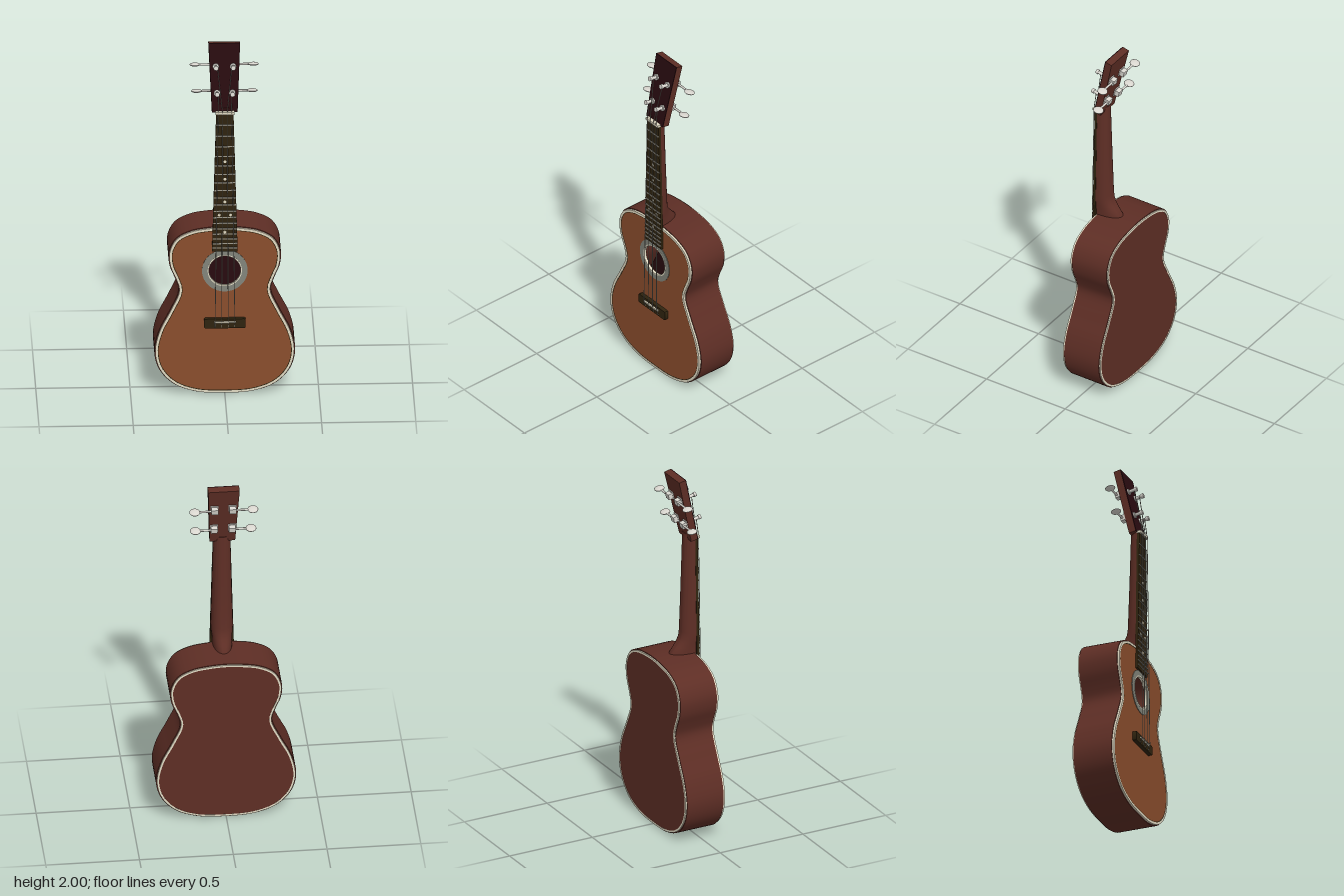
import * as THREE from 'three';
import { toCreasedNormals } from 'three/addons/utils/BufferGeometryUtils.js';

const mat = (name, color) => {
  const m = new THREE.MeshStandardMaterial({ color });
  m.name = name;
  return m;
};

export function createModel() {
  const mahogany = mat('mahogany', 0x5e2e25);
  const topWood = mat('top wood', 0x8b4e2d);
  const cream = mat('cream binding', 0xe2dbc4);
  const ebony = mat('dark fretboard wood', 0x30240f);
  const veneer = mat('dark veneer', 0x280b0f);
  const metal = mat('nickel', 0xd9d6cf);
  const grey = mat('rosette grey', 0x82857b);
  const fretMetal = mat('fret metal', 0xa09c90);

  const model = new THREE.Group();
  model.name = 'ukulele';
  const add = (name, geo, material, parent = model) => {
    const mesh = new THREE.Mesh(geo, material);
    mesh.name = name;
    parent.add(mesh);
    return mesh;
  };
  const box = (name, w, h, d, x, y, z, material, parent) => {
    const m = add(name, new THREE.BoxGeometry(w, h, d), material, parent);
    m.position.set(x, y, z);
    return m;
  };
  // Cylinder between two points
  const rod = (name, a, b, r, material, parent, sides = 8) => {
    const d = b.clone().sub(a);
    const m = add(name, new THREE.CylinderGeometry(r, r, d.length(), sides), material, parent);
    m.position.copy(a).addScaledVector(d, 0.5);
    m.quaternion.setFromUnitVectors(new THREE.Vector3(0, 1, 0), d.normalize());
    return m;
  };
  const V = (x, y, z) => new THREE.Vector3(x, y, z);

  // Flat shape extruded from z0 to z1, with soft sides
  const slab = (name, shape, z0, z1, material, parent) => {
    const g = new THREE.ExtrudeGeometry(shape, { depth: z1 - z0, bevelEnabled: false, curveSegments: 40 });
    g.translate(0, 0, z0);
    return add(name, toCreasedNormals(g, 0.6), material, parent);
  };

  // Body outline, with inset copies for the binding and plates
  const half = [[0, 0], [0.15, 0.01], [0.27, 0.056], [0.347, 0.14], [0.374, 0.245], [0.35, 0.365], [0.292, 0.485],
    [0.245, 0.6], [0.264, 0.67], [0.292, 0.74], [0.297, 0.825], [0.258, 0.902], [0.18, 0.945], [0.09, 0.962], [0, 0.968]];
  const loop = [...half, ...half.slice(1, -1).reverse().map(([x, y]) => [-x, y])];
  const curve = new THREE.CatmullRomCurve3(loop.map(([x, y]) => V(x, y, 0)), true, 'centripetal');
  const N = 120;
  const outline = (inset) => Array.from({ length: N }, (_, i) => {
    const p = curve.getPointAt(i / N), t = curve.getTangentAt(i / N);
    return new THREE.Vector2(p.x - t.y * inset, p.y + t.x * inset);
  });
  const ring = (a, b) => {
    const s = new THREE.Shape(outline(a));
    s.holes.push(new THREE.Path(outline(b)));
    return s;
  };
  const circleRing = (y, outer, inner) => {
    const s = new THREE.Shape().absarc(0, y, outer, 0, Math.PI * 2);
    s.holes.push(new THREE.Path().absarc(0, y, inner, 0, Math.PI * 2, true));
    return s;
  };

  const HOLE_Y = 0.715;
  slab('bodySides', ring(0, 0.03), -0.13, 0.09, mahogany);
  slab('frontBinding', ring(0.005, 0.018), 0.088, 0.101, cream);
  slab('frontPurfling', ring(0.018, 0.022), 0.088, 0.1, ebony);
  const topShape = new THREE.Shape(outline(0.022));
  topShape.holes.push(new THREE.Path().absarc(0, HOLE_Y, 0.086, 0, Math.PI * 2, true));
  slab('soundboard', topShape, 0.088, 0.1, topWood);
  slab('backBinding', ring(0.005, 0.016), -0.137, -0.128, cream);
  slab('back', new THREE.Shape(outline(0.016)), -0.136, -0.124, mahogany);
  slab('innerBack', new THREE.Shape(outline(0.031)), -0.124, -0.122, veneer);

  // Sound hole decoration
  slab('rosette', circleRing(HOLE_Y, 0.121, 0.091), 0.1, 0.103, grey);
  slab('soundHoleRim', circleRing(HOLE_Y, 0.091, 0.084), 0.09, 0.1035, cream);

  // Bridge and saddle
  const bridge = new THREE.Shape();
  bridge.moveTo(-0.1, 0.388).lineTo(0.1, 0.388).quadraticCurveTo(0.11, 0.388, 0.11, 0.398).lineTo(0.11, 0.432)
    .quadraticCurveTo(0.11, 0.442, 0.1, 0.442).lineTo(-0.1, 0.442).quadraticCurveTo(-0.11, 0.442, -0.11, 0.432)
    .lineTo(-0.11, 0.398).quadraticCurveTo(-0.11, 0.388, -0.1, 0.388);
  slab('bridge', bridge, 0.1, 0.122, ebony);
  box('saddle', 0.115, 0.008, 0.02, 0, 0.425, 0.121, cream);

  // Tapered fretboard, frets at equal-tempered spacing, dots
  const NUT_Y = 1.632, SCALE = 1.207;
  const halfWidth = (y) => 0.046 + (1.632 - y) * 0.0275;
  const board = new THREE.Shape([[-1, 0.83], [1, 0.83], [1, 1.63], [-1, 1.63]]
    .map(([s, y]) => new THREE.Vector2(s * halfWidth(y), y)));
  slab('fretboard', board, 0.098, 0.113, ebony);
  const fretY = (n) => NUT_Y - SCALE * (1 - 2 ** (-n / 12));
  for (let n = 1; n <= 18; n++) box('fret', 2 * halfWidth(fretY(n)), 0.006, 0.004, 0, fretY(n), 0.1145, fretMetal);
  for (const [n, xs] of [[5, [0]], [7, [0]], [10, [0]], [12, [-0.03, 0.03]], [15, [0]]]) {
    for (const x of xs) {
      const y = (fretY(n) + fretY(n - 1)) / 2 - 0.004;
      rod('fretDot', V(x, y, 0.112), V(x, y, 0.1145), 0.008, cream, model, 16);
    }
  }
  box('nut', 0.1, 0.014, 0.024, 0, NUT_Y + 0.003, 0.111, cream);

  // Neck and heel: half-round sections [y, half width, back z]
  const rows = [[0.95, 0.052, -0.036], [0.972, 0.052, -0.032], [1.0, 0.053, -0.008], [1.025, 0.055, 0.012],
    [1.05, 0.058, 0.026], [1.085, 0.059, 0.032], [1.35, 0.052, 0.041], [1.62, 0.046, 0.049], [1.655, 0.045, 0.05], [1.656, 0, 0.1]];
  const M = 20, pos = [], idx = [];
  rows.forEach(([y, w, back], i) => {
    for (let j = 0; j <= M; j++) {
      const a = (j / M) * Math.PI;
      pos.push(w * Math.cos(a), y, 0.1 - (0.1 - back) * Math.sin(a) ** 0.85);
      if (i && j) {
        const d = i * (M + 1) + j, c = d - 1, b = d - M - 1, e = b - 1;
        idx.push(e, b, d, e, d, c);
      }
    }
  });
  const neck = new THREE.BufferGeometry();
  neck.setAttribute('position', new THREE.Float32BufferAttribute(pos, 3));
  neck.setIndex(idx);
  add('neck', toCreasedNormals(neck, 0.8), mahogany);

  // Headstock, tilted backwards
  const head = new THREE.Group();
  head.name = 'headstock';
  head.position.set(0, 1.635, 0.103);
  head.rotation.x = -0.22;
  model.add(head);
  const headShape = new THREE.Shape([[-0.068, 0], [0.068, 0], [0.084, 0.374], [-0.084, 0.374]]
    .map(([x, y]) => new THREE.Vector2(x, y)));
  slab('headstockCore', headShape, -0.042, -0.005, mahogany, head);
  slab('headstockVeneer', headShape, -0.005, 0, veneer, head);

  // Tuners: post, collar, gear box, shaft and button
  const posts = [];
  for (const [y, px, bx] of [[0.105, 0.041, 0.148], [0.248, 0.046, 0.155]]) {
    for (const s of [-1, 1]) {
      const t = new THREE.Group();
      t.name = 'tuner';
      head.add(t);
      const x = s * px;
      rod('tunerCollar', V(x, y, 0), V(x, y, 0.008), 0.017, metal, t, 16);
      rod('tunerPost', V(x, y, 0), V(x, y, 0.05), 0.009, metal, t, 12);
      rod('tunerPostCap', V(x, y, 0.038), V(x, y, 0.052), 0.013, metal, t, 12);
      box('tunerPlate', 0.042, 0.045, 0.006, s * 0.048, y, -0.044, metal, t);
      box('tunerGearBox', 0.036, 0.032, 0.026, s * 0.048, y, -0.058, metal, t);
      rod('tunerShaft', V(s * 0.05, y, -0.06), V(s * 0.135, y, -0.06), 0.006, metal, t);
      const button = add('tunerButton', new THREE.SphereGeometry(0.029, 20, 12), metal, t);
      button.scale.set(1, 0.32, 0.95);
      button.position.set(s * bx, y, -0.06);
      posts.push(V(s * (px - 0.008), y, 0.03));
    }
  }

  // Strings: bridge to saddle to nut to post
  head.updateMatrix();
  [-1.5, -0.5, 0.5, 1.5].forEach((k, i) => {
    const post = posts[[0, 2, 3, 1][i]].clone().applyMatrix4(head.matrix);
    const path = [V(k * 0.035, 0.395, 0.122), V(k * 0.035, 0.425, 0.132), V(k * 0.024, NUT_Y + 0.003, 0.123), post];
    for (let j = 0; j < 3; j++) rod('string', path[j], path[j + 1], 0.0022, fretMetal, model, 6);
  });

  return model;
}
